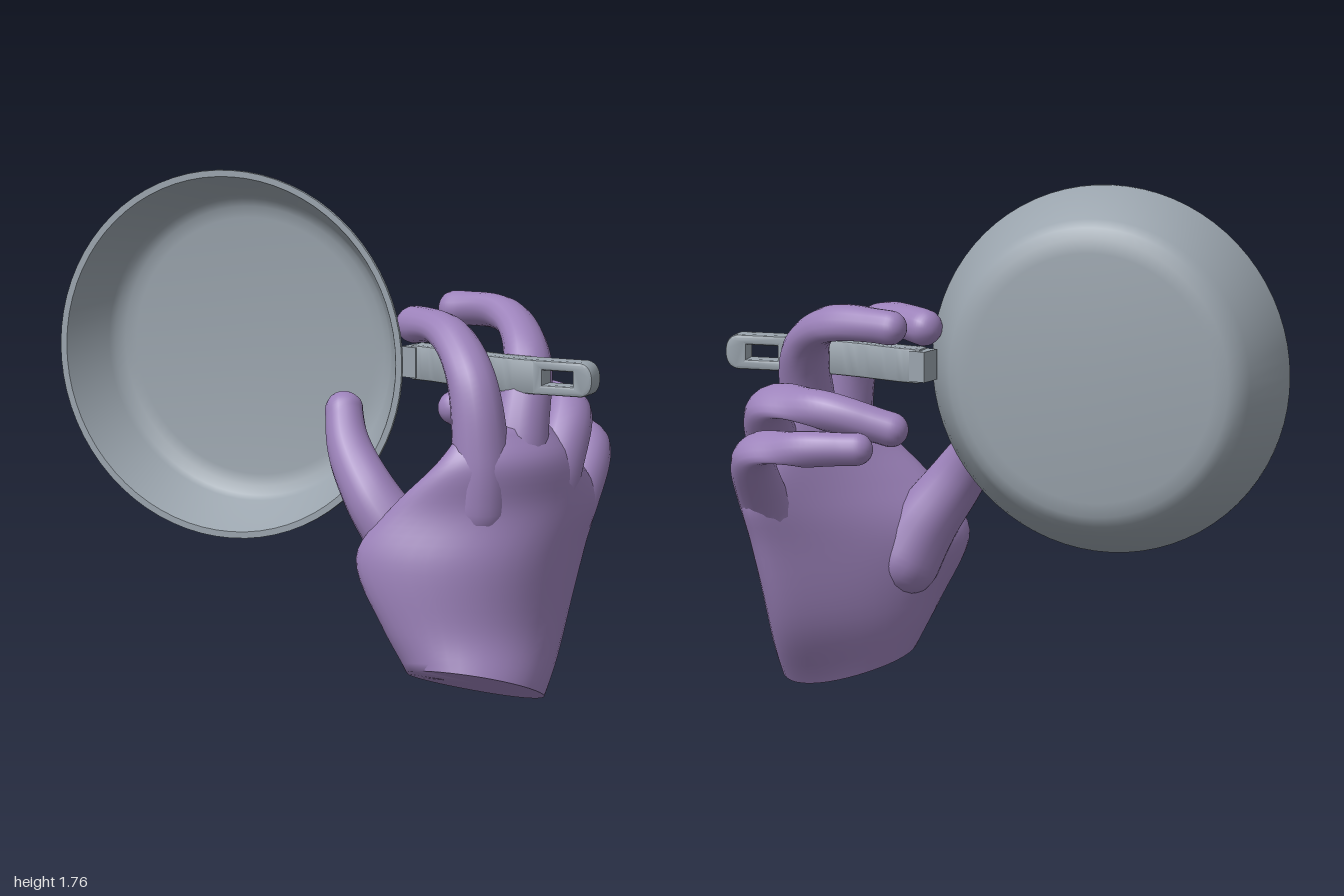
import * as THREE from 'three';
import { mergeVertices, toCreasedNormals } from 'three/addons/utils/BufferGeometryUtils.js';

const metal = new THREE.MeshStandardMaterial({ color: 0x9aa4ad });
const glove = new THREE.MeshStandardMaterial({ color: 0x9c82ba });

function addMesh(parent, name, geometry, material) {
  const mesh = new THREE.Mesh(geometry, material);
  mesh.name = name;
  parent.add(mesh);
  return mesh;
}

// Tapered tube along a curve, rounded off at both ends
function fingerGeometry(points, r0, r1) {
  const curve = new THREE.CatmullRomCurve3(points.map(p => new THREE.Vector3(...p)));
  const rings = 56, sides = 16;
  const tube = new THREE.TubeGeometry(curve, rings, 1, sides);
  const pos = tube.attributes.position;
  const v = new THREE.Vector3();
  const length = curve.getLength();
  for (let i = 0; i <= rings; i++) {
    const u = 1 - (1 - i / rings) ** 1.6; // rings crowd towards the tip
    const old = curve.getPointAt(i / rings), centre = curve.getPointAt(u);
    const k = Math.max(0, 1 - u * length / r0, 1 - (1 - u) * length / r1);
    const r = THREE.MathUtils.lerp(r0, r1, Math.min(1, u * 1.1)) * Math.sqrt(1 - k * k);
    for (let j = 0; j <= sides; j++) {
      const n = i * (sides + 1) + j;
      v.fromBufferAttribute(pos, n).sub(old).multiplyScalar(r).add(centre);
      pos.setXYZ(n, v.x, v.y, v.z);
    }
  }
  tube.deleteAttribute('uv');
  tube.deleteAttribute('normal');
  const merged = mergeVertices(tube, 1e-5);
  merged.computeVertexNormals();
  return merged;
}

// Cupped palm lofted from bent ellipses
function palmGeometry() {
  // height, centre x, centre z, turn (degrees), half width, half thickness, cupping, tilt
  const rows = [
    [0.075, 0.63, 0.25, 45, 0.24, 0.17, 0.03, 0.33],
    [0.25, 0.61, 0.2, 51, 0.33, 0.17, 0.06, 0.12],
    [0.5, 0.615, 0.19, 47, 0.41, 0.17, 0.12, 0],
    [0.68, 0.68, 0.13, 54, 0.385, 0.14, 0.1, 0],
    [0.84, 0.71, 0.145, 61, 0.27, 0.115, 0.05, 0],
    [0.95, 0.69, 0.15, 62, 0.17, 0.06, 0.02, 0],
  ];
  const section = new THREE.CubicInterpolant(rows.map((_, i) => i), rows.flat(), 8, new Array(8));
  const steps = 30, sides = 40, pos = [], index = [];
  for (let i = 0; i <= steps; i++) {
    const [y, cx, cz, turn, w, t, cup, tilt] = section.evaluate(i / steps * (rows.length - 1));
    const c = Math.cos(turn * Math.PI / 180), s = Math.sin(turn * Math.PI / 180);
    for (let j = 0; j < sides; j++) {
      const a = j / sides * Math.PI * 2;
      const across = w * Math.cos(a), out = t * Math.sin(a) - cup * Math.cos(a) ** 2;
      const z = -s * across + c * out;
      pos.push(cx + c * across + s * out, y + tilt * z, cz + z);
    }
  }
  for (let i = 0; i < steps; i++) {
    for (let j = 0; j < sides; j++) {
      const a = i * sides + j, b = i * sides + (j + 1) % sides;
      index.push(a, a + sides, b, b, a + sides, b + sides);
    }
  }
  // Wrist and knuckle caps
  const top = steps * sides, wrist = pos.length / 3;
  pos.push(0.62, 0.075, 0.24, 0.69, 0.97, 0.14);
  for (let j = 0; j < sides; j++) {
    const k = (j + 1) % sides;
    index.push(wrist, j, k, wrist + 1, top + k, top + j);
  }
  const g = new THREE.BufferGeometry();
  g.setAttribute('position', new THREE.Float32BufferAttribute(pos, 3));
  g.setIndex(index);
  return toCreasedNormals(g, 1.2);
}

function createHand() {
  const hand = new THREE.Group();
  hand.name = 'hand';
  addMesh(hand, 'palm', palmGeometry(), glove);
  // Path from inside the palm to the tip, base radius, tip radius
  const fingers = {
    thumb: [[[0.48, 0.3, 0.24], [0.36, 0.53, 0.27], [0.23, 0.71, 0.28], [0.12, 0.86, 0.22], [0.055, 1.02, 0.13]], 0.14, 0.066],
    indexFinger: [[[0.62, 0.56, 0.23], [0.64, 0.86, 0.25], [0.585, 1.13, 0.22], [0.45, 1.25, 0.12], [0.21, 1.25, -0.03]], 0.115, 0.064],
    middleFinger: [[[0.7, 0.6, 0.13], [0.715, 0.93, 0.1], [0.675, 1.18, -0.03], [0.52, 1.28, -0.17], [0.25, 1.28, -0.23]], 0.115, 0.06],
    ringFinger: [[[0.72, 0.52, 0.06], [0.79, 0.81, -0.03], [0.74, 1, -0.2], [0.52, 0.99, -0.26], [0.24, 0.92, -0.23]], 0.105, 0.06],
    littleFinger: [[[0.72, 0.42, 0], [0.785, 0.67, -0.17], [0.74, 0.86, -0.36], [0.55, 0.88, -0.41], [0.31, 0.89, -0.39]], 0.1, 0.057],
  };
  for (const [name, args] of Object.entries(fingers)) {
    addMesh(hand, name, fingerGeometry(...args), glove);
  }
  return hand;
}

function createPan() {
  const pan = new THREE.Group();
  pan.name = 'fryingPan';

  // Bowl turned to face the front, swung slightly about the vertical
  const profile = [
    [0, -0.235], [0.43, -0.235], [0.48, -0.228], [0.515, -0.21], [0.54, -0.175], [0.632, -0.012], [0.632, 0],
    [0.61, 0], [0.525, -0.165], [0.51, -0.185], [0.48, -0.202], [0.44, -0.207], [0, -0.207],
  ].map(p => new THREE.Vector2(...p));
  const bowlGeometry = new THREE.LatheGeometry(profile, 72);
  bowlGeometry.rotateX(Math.PI / 2);
  const bowl = addMesh(pan, 'bowl', toCreasedNormals(bowlGeometry, 0.6), metal);
  bowl.rotation.y = 0.055;
  bowl.position.set(-0.365, 1.125, 0.14);

  // Curved part of the handle: a side outline extruded over its height
  const path = new THREE.SplineCurve([[0.27, -0.01], [0.35, 0.005], [0.5, 0.055], [0.66, 0.092], [0.785, 0.1]]
    .map(p => new THREE.Vector2(...p))).getPoints(28);
  const half = 0.028;
  const outline = new THREE.Shape([
    ...path.map(p => new THREE.Vector2(p.x, p.y - half)),
    ...path.map(p => new THREE.Vector2(p.x, p.y + half)).reverse(),
  ]);
  const bevels = { bevelSize: 0.01, bevelThickness: 0.01, bevelSegments: 2 };
  const gripGeometry = new THREE.ExtrudeGeometry(outline, { depth: 0.1, ...bevels });
  gripGeometry.rotateX(Math.PI / 2);
  addMesh(pan, 'handleGrip', toCreasedNormals(gripGeometry, 0.5), metal).position.y = 1.175;

  // Collar where the handle meets the outside of the bowl
  const collar = addMesh(pan, 'handleCollar', new THREE.BoxGeometry(0.06, 0.105, 0.085), metal);
  collar.position.set(0.262, 1.125, -0.012);
  collar.rotation.y = -0.2;

  // Rounded end with a hanging slot
  const end = new THREE.Shape();
  end.moveTo(0, -0.05);
  end.lineTo(0.17, -0.05);
  end.quadraticCurveTo(0.205, -0.045, 0.205, 0);
  end.quadraticCurveTo(0.205, 0.045, 0.17, 0.05);
  end.lineTo(0, 0.05);
  const slot = new THREE.Path();
  slot.moveTo(0.02, -0.035);
  slot.lineTo(0.02, 0.035);
  slot.lineTo(0.15, 0.035);
  slot.lineTo(0.15, -0.035);
  end.holes.push(slot);
  const endGeometry = new THREE.ExtrudeGeometry(end, { depth: 0.058, curveSegments: 8, ...bevels });
  endGeometry.translate(0, 0, -0.029);
  const handleEnd = addMesh(pan, 'handleEnd', toCreasedNormals(endGeometry, 0.5), metal);
  handleEnd.position.set(0.785, 1.125, 0.1);
  handleEnd.rotation.y = 0.05;
  return pan;
}

export function createModel() {
  const model = new THREE.Group();
  model.name = 'handHoldingPan';
  model.add(createPan(), createHand());
  return model;
}
